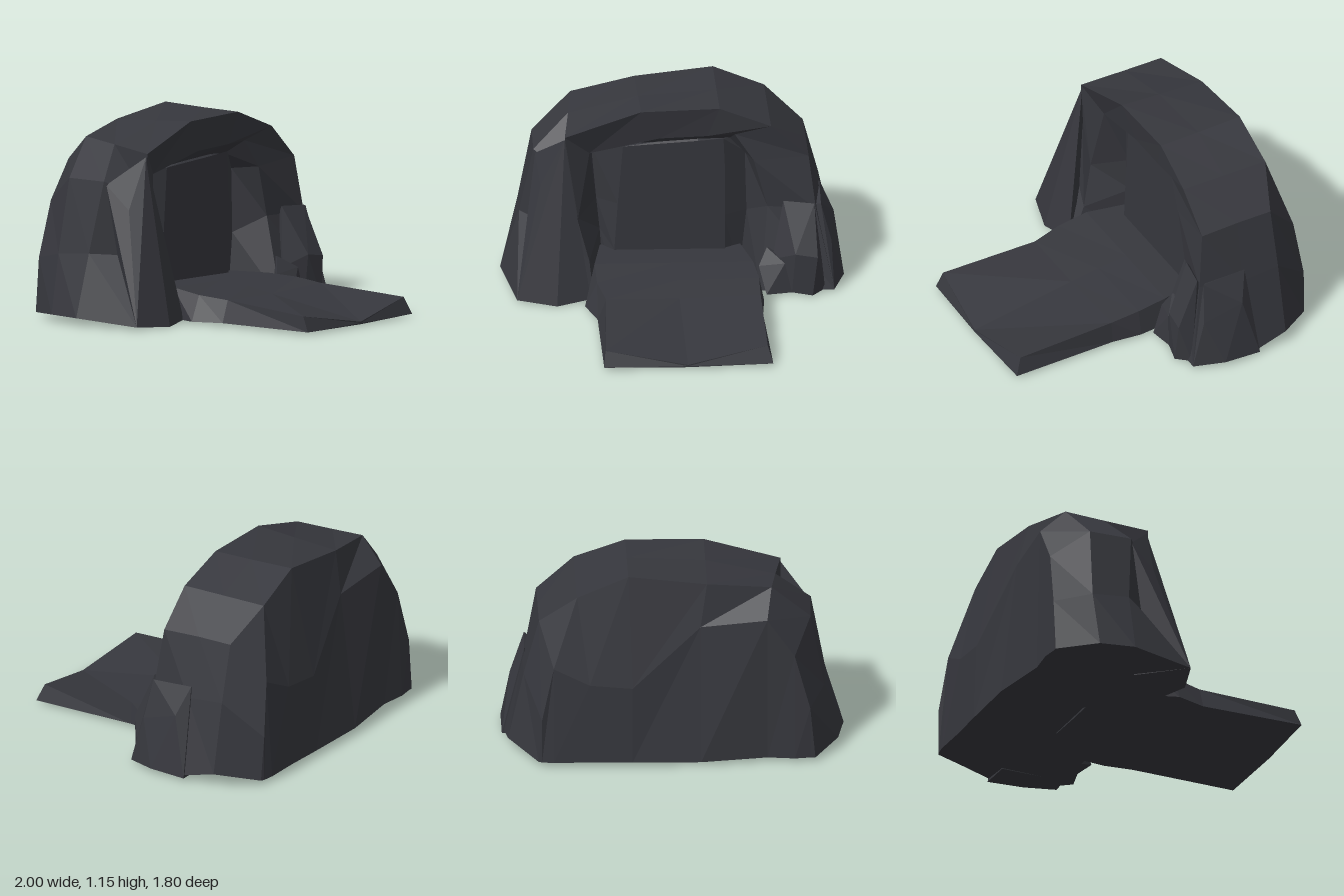
import * as THREE from 'three';
import { ConvexGeometry } from 'three/addons/geometries/ConvexGeometry.js';

const V = (p) => new THREE.Vector3(...p);

// Flat-shaded geometry from a list of corner points, three per face
function facets(points) {
  const g = new THREE.BufferGeometry().setFromPoints(points.map(V));
  g.computeVertexNormals();
  return g;
}

// Skin between successive rows of points
function loft(rows) {
  const out = [];
  for (let r = 0; r < rows.length - 1; r++) {
    const a = rows[r], b = rows[r + 1];
    for (let i = 0; i < a.length - 1; i++) {
      out.push(a[i], a[i + 1], b[i + 1], a[i], b[i + 1], b[i]);
    }
  }
  return out;
}

// Fan closing a ring around a centre point
function fan(centre, ring) {
  return ring.flatMap((p, i) => [centre, p, ring[(i + 1) % ring.length]]);
}

export function createModel() {
  const group = new THREE.Group();
  const stone = new THREE.MeshStandardMaterial({ color: 0x36373d });
  stone.name = 'dark stone';
  const add = (name, geometry) => {
    const m = new THREE.Mesh(geometry, stone);
    m.name = name;
    group.add(m);
  };

  // Arched rows, each running from the -x foot over the top to the +x foot
  const wall = [[-.35, .02], [-.34, .2], [-.32, .5], [-.29, .87], [-.08, .88],
    [.15, .89], [.3, .9], [.31, .68], [.3, .4], [.29, .02]].map(([x, y]) => [x, y, -.3]);
  const pocket = [[-.4, .02, -.38], [-.42, .3, -.39], [-.44, .5, -.39], [-.47, .84, -.39], [-.08, .89, -.31],
    [.15, .9, -.31], [.34, .88, -.35], [.43, .78, -.37], [.44, .4, -.37], [.4, .02, -.37]];
  const rim = [[-.48, .02, -.03], [-.5, .22, -.12], [-.56, .46, -.2], [-.49, .86, -.25], [-.08, .95, -.23],
    [.2, .96, -.22], [.36, .965, -.22], [.47, .8, -.2], [.55, .5, -.2], [.5, .02, -.06]];
  const front = [[-.93, .02, -.04], [-.66, .4, -.15], [-.64, .75, -.19], [-.64, 1, -.18], [-.19, 1.14, -.2],
    [.27, 1.145, -.2], [.57, 1.03, -.18], [.79, .83, -.18], [.83, .5, -.14], [.93, .02, -.04]];
  const middle = [[-1, .05, -.43], [-.89, .42, -.42], [-.81, .84, -.37], [-.6, 1.03, -.45], [-.19, 1.125, -.45],
    [.27, 1.15, -.45], [.57, 1.03, -.45], [.79, .84, -.42], [.88, .48, -.4], [.99, .03, -.42]];
  const rear = [[-.96, .05, -.64], [-.88, .4, -.65], [-.8, .84, -.63], [-.57, 1.055, -.68], [-.19, 1.11, -.74],
    [.27, 1.16, -.73], [.57, 1.03, -.73], [.79, .84, -.64], [.88, .5, -.64], [.97, .08, -.64]];
  const back = [[-.82, .03, -.86], [-.79, .35, -.86], [-.7, .68, -.84], [-.54, .91, -.83], [-.15, .86, -.8],
    [.25, .5, -.87], [.5, .52, -.86], [.71, .62, -.84], [.78, .3, -.87], [.8, .03, -.86]];
  const footZ = [-.86, -.86, -.87, -.85, -.9, -.89, -.88, -.88, -.87, -.86];
  const backFoot = back.map(([x], i) => [x, .03, footZ[i]]);
  const wallFoot = wall.map(([x, , z]) => [x, .02, z]);

  // Cave: recessed door with pockets around it, arch face, roof, flanks and back
  add('caveShell', facets(loft([rim, front, middle, rear, back, backFoot])));
  add('doorJambs', facets(loft([pocket, rim])));
  add('doorEdges', facets(loft([wall, pocket])));
  add('doorWall', facets(loft([wallFoot, wall])));

  // Underside
  const outer = [front, middle, rear];
  const ring = [...outer.map((r) => r[0]), ...backFoot,
    ...outer.map((r) => r[9]).reverse(), rim[9], pocket[9], pocket[0], rim[0]];
  add('caveBase', facets(fan([0, .01, -.6], ring)));

  // Boulders against the feet and flanks of the arch
  const boulders = {
    leftBoulder: [[.64, .55, -.16], [.82, .54, -.13], [.7, .27, -.01], [.83, .25, 0], [.57, .2, -.1],
      [.8, .01, .01], [.68, .02, -.02], [.88, .02, -.06], [.6, .02, -.15], [.72, .3, -.32]],
    leftSmallBoulder: [[.49, .17, -.08], [.54, .27, -.12], [.53, .02, 0], [.64, .2, -.04],
      [.68, .02, -.02], [.58, .02, -.25], [.6, .25, -.25]],
    leftFlank: [[.86, .53, -.15], [.87, .55, -.42], [.95, .38, -.36], [.92, .3, -.12], [1, .02, -.45],
      [1, .03, -.22], [.93, .02, -.04], [.8, .02, -.1], [.8, .5, -.2], [.8, .02, -.45]],
    rightFlank: [[-.93, .02, -.04], [-.7, .005, .03], [-.5, .02, -.02], [-.64, .47, -.17],
      [-.79, .35, -.1], [-.55, .2, -.1], [-.7, .02, -.3], [-.64, .98, -.19], [-.8, .82, -.36], [-.78, .68, -.21]],
  };
  for (const [name, pts] of Object.entries(boulders)) add(name, new ConvexGeometry(pts.map(V)));

  // Ramp: each section is z, foot left/right, top left/right, heights left/centre/right
  const sections = [
    [.9, -.49, .5, -.48, .47, .11, .03, .12],
    [.25, -.48, .49, -.43, .475, .15, .14, .15],
    [.07, -.54, .51, -.47, .48, .17, .17, .17],
    [-.12, -.48, .49, -.47, .46, .2, .19, .18],
    [-.37, -.42, .41, -.42, .4, .2, .19, .18],
  ].map(([z, bl, br, tl, tr, yl, yc, yr], i) => {
    const lean = i === 0 ? .04 : 0;
    return [[bl, .02, z - lean / 2], [tl, yl, z - lean * 1.5], [0, yc, z], [tr, yr, z - lean],
      [br, .02, z], [0, .015, z], [bl, .02, z - lean / 2]];
  });
  const first = sections[0].slice(0, 6), last = sections.at(-1).slice(0, 6);
  add('ramp', facets([
    ...loft(sections),
    ...fan([0, .022, .9], first.reverse()),
    ...fan([0, .1, -.37], last),
  ]));

  return group;
}
